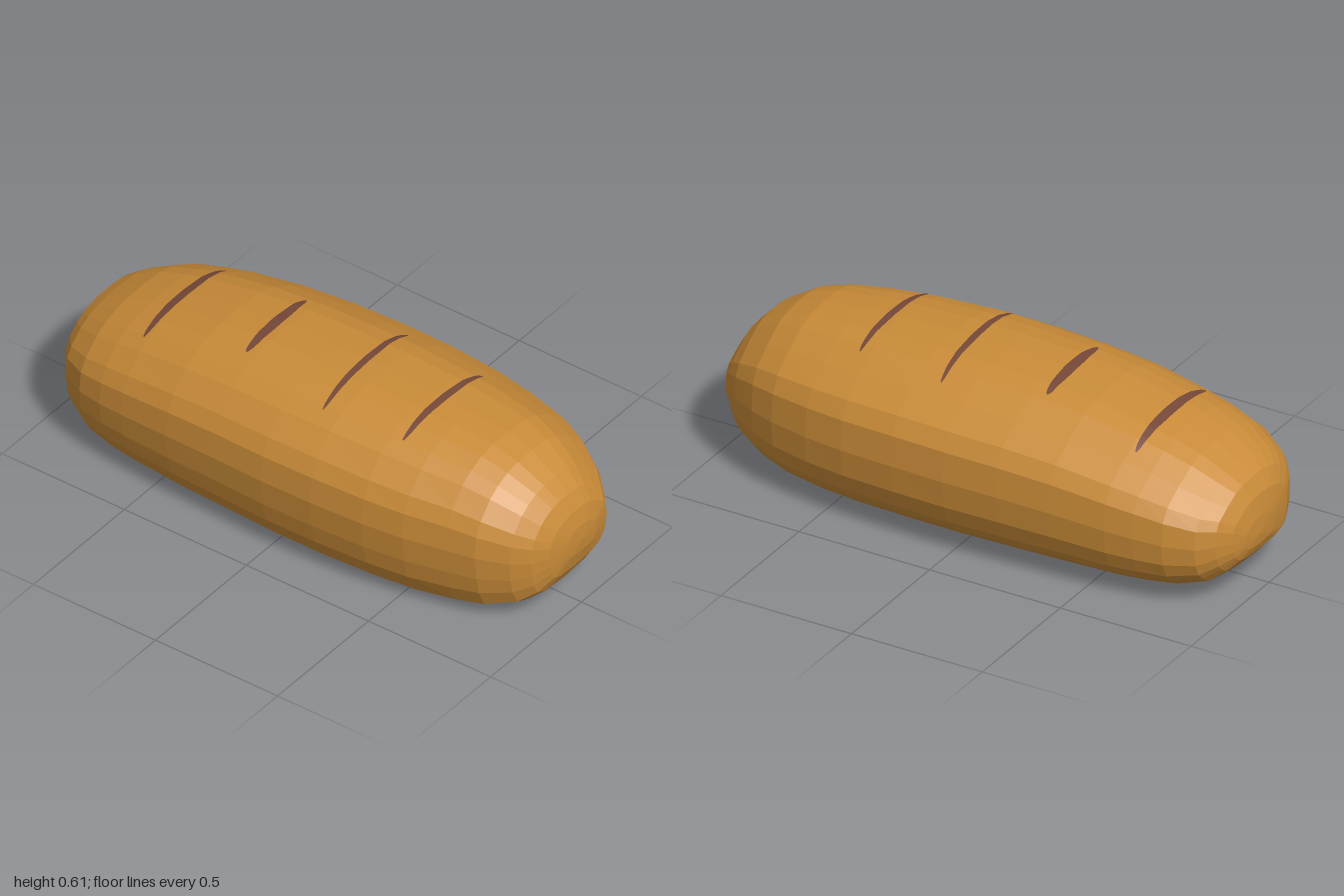
import * as THREE from 'three';

// Cross-section outline, counter-clockwise seen from the front: x in -1..1, y in 0..1
const PROFILE = [
  [-0.09, 0], [0.45, 0.02], [0.71, 0.065], [0.82, 0.13], [0.91, 0.2], [0.975, 0.315],
  [1, 0.48], [0.975, 0.66], [0.89, 0.76], [0.68, 0.86], [0.45, 0.95], [0.28, 0.985],
  [0, 1], [-0.24, 0.997], [-0.42, 0.975], [-0.59, 0.934], [-0.73, 0.876], [-0.9, 0.76],
  [-0.975, 0.66], [-1, 0.5], [-0.975, 0.33], [-0.93, 0.2], [-0.83, 0.075], [-0.61, 0.02],
];

// Stations along the loaf: z, left edge x, right edge x, bottom y, top y
const STATIONS = [
  [-0.995, -0.04, 0.14, 0.17, 0.27], [-0.98, -0.15, 0.2, 0.135, 0.34], [-0.95, -0.22, 0.26, 0.1, 0.395],
  [-0.9, -0.285, 0.31, 0.06, 0.43], [-0.8, -0.345, 0.355, 0.03, 0.482], [-0.7, -0.37, 0.375, 0.018, 0.515],
  [-0.6, -0.385, 0.39, 0.012, 0.54], [-0.4, -0.405, 0.405, 0.008, 0.577], [-0.2, -0.415, 0.415, 0.006, 0.595],
  [0, -0.423, 0.42, 0.003, 0.602], [0.2, -0.42, 0.415, 0.001, 0.605], [0.4, -0.405, 0.402, 0, 0.598],
  [0.55, -0.382, 0.378, 0, 0.588], [0.7, -0.345, 0.342, 0.008, 0.572], [0.8, -0.318, 0.302, 0.025, 0.543],
  [0.9, -0.262, 0.242, 0.06, 0.483], [0.95, -0.21, 0.195, 0.1, 0.43], [0.98, -0.15, 0.165, 0.15, 0.375],
  [0.996, -0.07, 0.09, 0.21, 0.315],
];

const lerp = THREE.MathUtils.lerp;

// Height of the crust at (x, z)
function crustHeight(x, z) {
  const i = Math.max(1, STATIONS.findIndex((s) => s[0] >= z));
  const a = STATIONS[i - 1], b = STATIONS[i];
  const [, l, r, y0, y1] = a.map((v, k) => lerp(v, b[k], (z - a[0]) / (b[0] - a[0])));
  const nx = (x - (l + r) / 2) / ((r - l) / 2);
  const top = PROFILE.slice(6, 20);
  const k = Math.max(1, top.findIndex((p) => p[0] <= nx));
  const p = top[k - 1], q = top[k];
  return lerp(y0, y1, lerp(p[1], q[1], (nx - p[0]) / (q[0] - p[0])));
}

// Loaf body lofted through the stations, closed by a fan at each end
function loafGeometry() {
  const pos = [], index = [], n = PROFILE.length, last = STATIONS.length - 1;
  for (const [z, l, r, y0, y1] of STATIONS)
    for (const [px, py] of PROFILE)
      pos.push((l + r) / 2 + px * (r - l) / 2, lerp(y0, y1, py), z);
  const back = pos.length / 3, front = back + 1;
  pos.push(0.06, 0.21, -1, 0.01, 0.26, 1);
  for (let j = 0; j < n; j++) {
    const k = (j + 1) % n;
    for (let i = 0; i < last; i++) {
      const a = i * n, b = a + n;
      index.push(a + j, a + k, b + k, a + j, b + k, b + j);
    }
    index.push(back, k, j, front, last * n + j, last * n + k);
  }
  const g = new THREE.BufferGeometry();
  g.setAttribute('position', new THREE.Float32BufferAttribute(pos, 3));
  g.setIndex(index);
  g.computeVertexNormals();
  return g;
}

// Tapered ribbon lying just above the crust
function slashGeometry(x0, x1, z0, z1, width) {
  const pos = [], index = [], steps = 24, across = 2;
  for (let i = 0; i <= steps; i++) {
    const t = i / steps, x = lerp(x0, x1, t);
    const half = width / 2 * (0.15 + 0.85 * Math.sqrt(Math.sin(Math.PI * t)));
    for (let j = 0; j <= across; j++) {
      const z = lerp(z0, z1, t) + (j / across * 2 - 1) * half;
      pos.push(x, crustHeight(x, z) + 0.004, z);
    }
  }
  const row = across + 1;
  for (let i = 0; i < steps; i++)
    for (let j = 0; j < across; j++) {
      const a = i * row + j, b = a + row;
      index.push(a, a + 1, b + 1, a, b + 1, b);
    }
  const g = new THREE.BufferGeometry();
  g.setAttribute('position', new THREE.Float32BufferAttribute(pos, 3));
  g.setIndex(index);
  g.computeVertexNormals();
  return g;
}

export function createModel() {
  const model = new THREE.Group();
  model.name = 'breadLoaf';

  const loaf = new THREE.Mesh(loafGeometry(),
    new THREE.MeshStandardMaterial({ color: 0xc98b38, flatShading: true }));
  loaf.name = 'loaf';
  model.add(loaf);

  // Four scored cuts: x start, x end, z start, z end, width
  const cutMaterial = new THREE.MeshStandardMaterial({ color: 0x754838, side: THREE.DoubleSide });
  [
    [-0.235, 0.22, -0.618, -0.622, 0.034],
    [-0.18, 0.165, -0.238, -0.25, 0.04],
    [-0.26, 0.24, 0.135, 0.112, 0.026],
    [-0.235, 0.205, 0.443, 0.443, 0.028],
  ].forEach((cut, i) => {
    const slash = new THREE.Mesh(slashGeometry(...cut), cutMaterial);
    slash.name = `crustCut${i + 1}`;
    model.add(slash);
  });
  return model;
}
